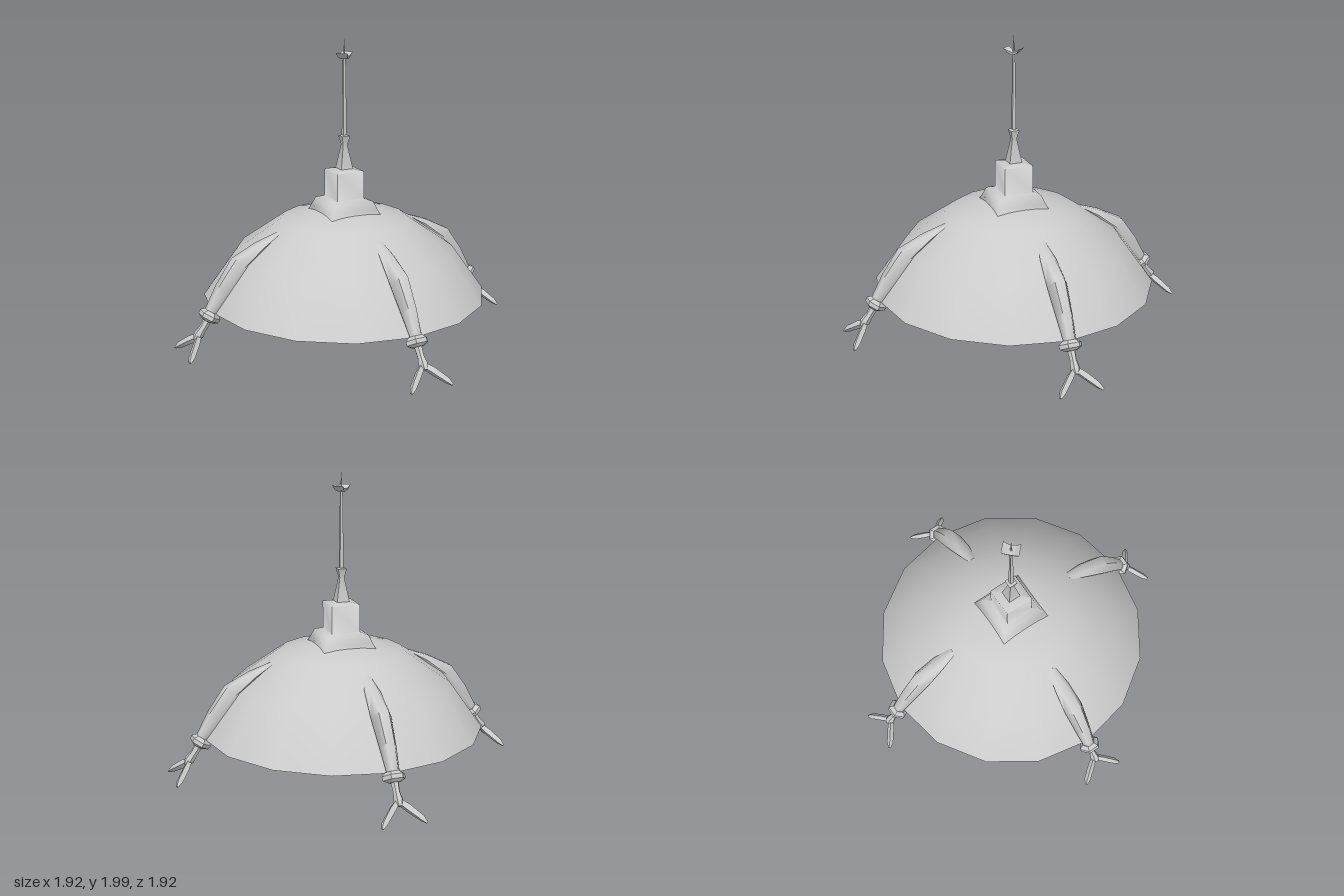
import * as THREE from 'three';
import { toCreasedNormals } from 'three/addons/utils/BufferGeometryUtils.js';

const grey = new THREE.MeshStandardMaterial({ color: 0xcccccc });
const greyDouble = new THREE.MeshStandardMaterial({ color: 0xcccccc, side: THREE.DoubleSide });

function part(name, geometry, material = grey) {
  const mesh = new THREE.Mesh(geometry, material);
  mesh.name = name;
  return mesh;
}

function turned(profile, sides) {
  return new THREE.LatheGeometry(profile.map(([r, y]) => new THREE.Vector2(r, y)), sides);
}

// Skins elliptical rings; each station is [x, y, z, half width, half thickness]
function loft(stations, sides, crease) {
  const centres = stations.map(([x, y, z]) => new THREE.Vector3(x, y, z));
  const d = centres[centres.length - 1].clone().sub(centres[0]).normalize();
  const u = new THREE.Vector3().crossVectors(d, new THREE.Vector3(0, 1, 0)).normalize();
  const v = new THREE.Vector3().crossVectors(d, u);
  const positions = [], index = [];
  stations.forEach(([, , , w, t], i) => {
    for (let j = 0; j < sides; j++) {
      const a = (j / sides) * Math.PI * 2;
      const p = centres[i].clone()
        .addScaledVector(u, w * Math.cos(a))
        .addScaledVector(v, t * Math.sin(a));
      positions.push(p.x, p.y, p.z);
      if (i < stations.length - 1) {
        const k = (j + 1) % sides, r = i * sides, s = r + sides;
        index.push(r + j, r + k, s + k, r + j, s + k, s + j);
      }
    }
  });
  // End caps
  const last = (stations.length - 1) * sides;
  for (let j = 1; j < sides - 1; j++) {
    index.push(0, j + 1, j, last, last + j, last + j + 1);
  }
  const geometry = new THREE.BufferGeometry();
  geometry.setAttribute('position', new THREE.Float32BufferAttribute(positions, 3));
  geometry.setIndex(index);
  return toCreasedNormals(geometry, crease);
}

// One leg, reaching outwards along +x
function createLeg(name, angle) {
  const leg = new THREE.Group();
  leg.name = name;
  leg.rotation.y = angle;

  // Its underside passes through the shell
  leg.add(part('upperLeg', loft([
    [0.485, 0.75, 0, 0.028, 0.008],
    [0.615, 0.678, 0, 0.054, 0.038],
    [0.76, 0.565, 0, 0.068, 0.08],
    [0.885, 0.41, 0, 0.056, 0.066],
    [0.993, 0.255, 0, 0.04, 0.04],
  ], 6, 1.1)));

  leg.add(part('ankleCollar', loft([
    [0.968, 0.282, 0, 0.05, 0.048],
    [0.98, 0.263, 0, 0.077, 0.074],
    [0.994, 0.24, 0, 0.074, 0.07],
    [1.003, 0.225, 0, 0.04, 0.04],
  ], 6, 0.4)));

  leg.add(part('ankle', loft([
    [0.985, 0.25, 0, 0.028, 0.03],
    [1.035, 0.175, 0, 0.022, 0.026],
    [1.065, 0.135, 0, 0.032, 0.034],
    [1.088, 0.105, 0, 0.018, 0.018],
  ], 6, 0.8)));

  // Two splayed toes
  for (const side of [-1, 1]) {
    leg.add(part('toe', loft([
      [1.06, 0.13, 0, 0.018, 0.022],
      [1.098, 0.094, side * 0.05, 0.023, 0.028],
      [1.155, 0.04, side * 0.12, 0.022, 0.022],
      [1.178, 0.016, side * 0.145, 0.01, 0.008],
    ], 4, 0.4)));
  }
  return leg;
}

export function createModel() {
  const model = new THREE.Group();
  model.name = 'walkingDome';

  // Open shell with sixteen sides
  model.add(part('domeShell', turned(
    [[0.96, 0.27], [0.74, 0.58], [0.425, 0.8], [0.21, 0.845], [0, 0.87]], 16), greyDouble));

  // Four-sided pedestal with softly shaded ledges, corners facing the axes
  model.add(part('pedestal', toCreasedNormals(turned([
    [0.262, 0.828], [0.235, 0.87], [0.205, 0.922], [0.14, 0.938],
    [0.14, 1.125], [0.062, 1.138],
  ], 4), 1.5)));

  // Point of the pedestal hanging inside the shell
  model.add(part('innerPoint', toCreasedNormals(turned([
    [0, 0.65], [0.14, 0.79], [0.14, 0.87],
  ], 4), 0.6)));

  // Tapering neck with a flared cap
  model.add(part('neck', toCreasedNormals(turned([
    [0.062, 1.135], [0.022, 1.3], [0.042, 1.36], [0.018, 1.365],
  ], 4), 0.8)));

  // Slender mast ending in a needle
  model.add(part('mast', toCreasedNormals(turned([
    [0.018, 1.36], [0.01, 1.87], [0.006, 1.91], [0.001, 2.0],
  ], 4), 0.6)));

  // Upturned crescent near the mast tip, curving along z
  const crescent = new THREE.Shape([
    [-0.056, 1.915], [-0.032, 1.885], [0, 1.872], [0.032, 1.885], [0.056, 1.915],
    [0.025, 1.898], [0, 1.892], [-0.025, 1.898],
  ].map(([x, y]) => new THREE.Vector2(x, y)));
  const blade = new THREE.ExtrudeGeometry(crescent, { depth: 1, bevelEnabled: false });
  blade.translate(0, 0, -0.5).rotateY(Math.PI / 2);
  const p = blade.attributes.position;
  for (let i = 0; i < p.count; i++) {
    p.setX(i, p.getX(i) * (0.056 + (p.getY(i) - 1.872) * 0.55));
  }
  blade.computeVertexNormals();
  model.add(part('mastCrescent', blade));

  // Legs on the four diagonals
  ['frontLeftLeg', 'backLeftLeg', 'backRightLeg', 'frontRightLeg'].forEach((name, i) => {
    model.add(createLeg(name, -Math.PI / 4 + i * Math.PI / 2));
  });

  return model;
}
